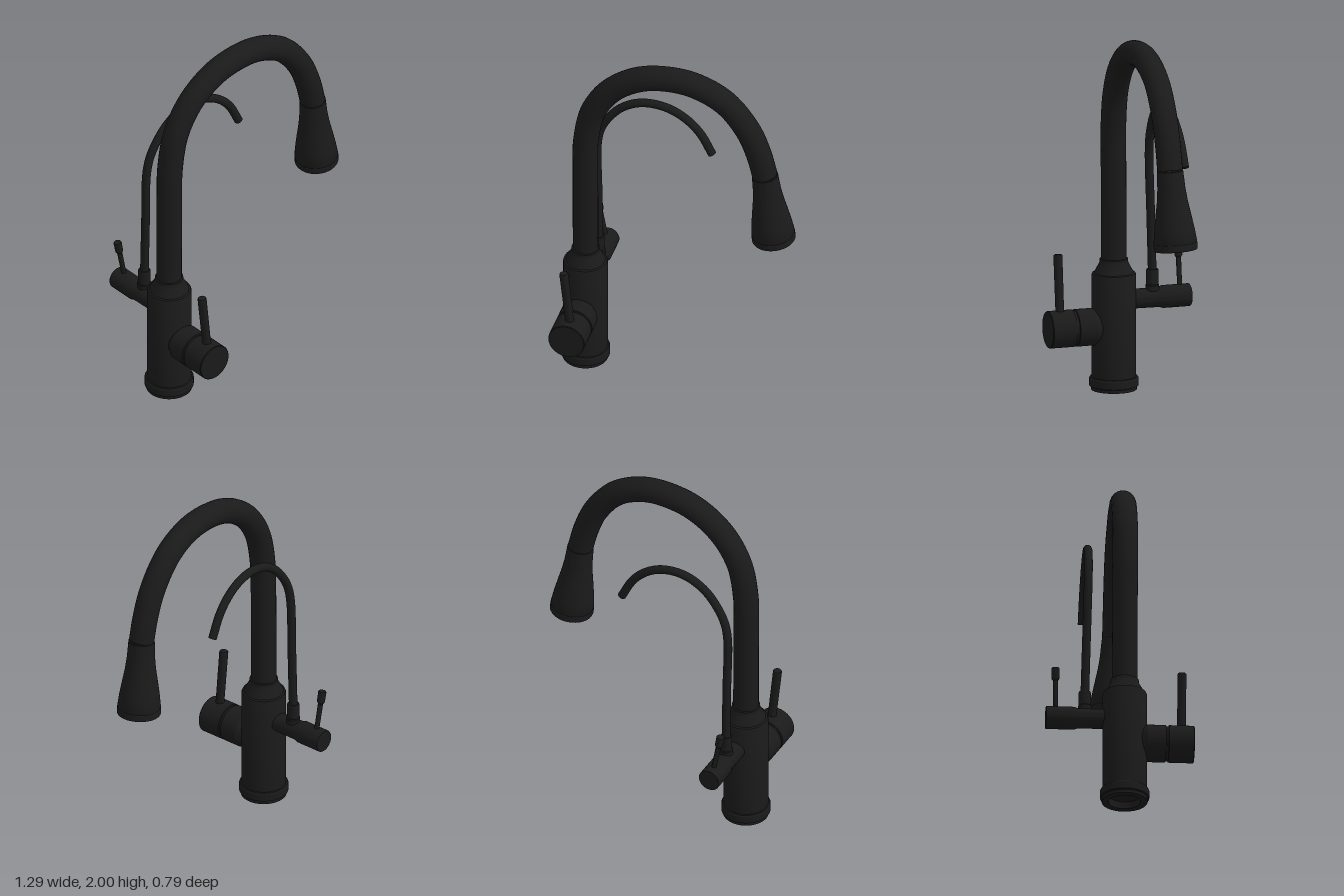
import * as THREE from 'three';
import { toCreasedNormals } from 'three/addons/utils/BufferGeometryUtils.js';

const material = new THREE.MeshStandardMaterial({ color: 0x1a1a1a });
const V = (x, y, z) => new THREE.Vector3(x, y, z);
const UP = V(0, 1, 0);

export function createModel() {
  const model = new THREE.Group();

  const add = (name, geometry) => {
    const mesh = new THREE.Mesh(geometry, material);
    mesh.name = name;
    model.add(mesh);
    return mesh;
  };

  // Turned part: profile of [radius, height] from bottom to top, height measured from "from" towards "to"
  const turned = (name, profile, from, to, segments = 48) => {
    const points = profile.map(([r, h]) => new THREE.Vector2(r, h));
    const mesh = add(name, toCreasedNormals(new THREE.LatheGeometry(points, segments), 0.5));
    mesh.position.copy(from);
    mesh.quaternion.setFromUnitVectors(UP, to.clone().sub(from).normalize());
    return mesh;
  };

  // Bent pipe through points, closed with flat discs at the ends
  const pipe = (name, points, radius, segments) => {
    const curve = new THREE.CatmullRomCurve3(points, false, 'centripetal');
    add(name, new THREE.TubeGeometry(curve, segments, radius, 24));
    [0, 1].forEach((t) => {
      const cap = add(name + 'End', new THREE.CircleGeometry(radius, 24));
      cap.position.copy(curve.getPointAt(t));
      cap.quaternion.setFromUnitVectors(V(0, 0, 1), curve.getTangentAt(t).multiplyScalar(t ? 1 : -1));
    });
  };

  const X = -0.515, Z = 0.026;

  // Body with stepped foot, hollow underside, sloped shoulder and pipe collar
  turned('body', [
    [0, 0.04], [0.085, 0.04], [0.085, 0], [0.122, 0], [0.122, 0.018], [0.131, 0.022],
    [0.131, 0.062], [0.126, 0.07], [0.119, 0.072], [0.119, 0.625], [0.115, 0.634],
    [0.105, 0.638], [0.078, 0.69], [0.075, 0.7], [0.075, 0.713], [0.066, 0.716], [0, 0.716],
  ], V(X, 0, Z), V(X, 1, Z), 64);

  // Main spout
  pipe('mainSpout', [
    V(X, 0.69, Z), V(X, 1.0, 0.027), V(X, 1.25, 0.028), V(-0.512, 1.42, 0.03),
    V(-0.47, 1.63, 0.032), V(-0.365, 1.792, 0.034), V(-0.2, 1.9, 0.037), V(-0.01, 1.932, 0.04),
    V(0.13, 1.91, 0.042), V(0.27, 1.835, 0.042), V(0.39, 1.685, 0.043), V(0.45, 1.54, 0.043),
    V(0.483, 1.41, 0.042),
  ], 0.068, 80);

  // Flared spray head with recessed outlet
  turned('sprayHead', [
    [0, 0.03], [0.04, 0.03], [0.04, 0.012], [0.095, 0.012], [0.1, 0], [0.114, 0], [0.117, 0.005],
    [0.117, 0.035], [0.115, 0.038], [0.115, 0.042], [0.116, 0.045], [0.108, 0.11], [0.095, 0.19],
    [0.083, 0.26], [0.075, 0.33], [0.07, 0.425], [0.066, 0.428], [0, 0.428],
  ], V(0.528, 0.987, 0.024), V(0.483, 1.41, 0.042));

  // Front mixer knob: fixed neck, narrow gap, turning cap
  turned('mixerKnob', [
    [0, 0], [0.07, 0], [0.1, 0.05], [0.1, 0.148], [0.093, 0.15], [0.093, 0.162],
    [0.1, 0.164], [0.1, 0.296], [0.097, 0.3], [0, 0.3],
  ], V(X, 0.348, 0.095), V(X, 0.348, 1));

  // Mixer lever
  turned('mixerLever', [[0, 0], [0.023, 0], [0.024, 0.33], [0.021, 0.335], [0, 0.335]],
    V(-0.512, 0.415, 0.329), V(-0.548, 0.75, 0.329), 20);

  // Rear side arm, widening towards its end
  turned('sideArm', [
    [0, 0], [0.052, 0], [0.054, 0.17], [0.061, 0.19], [0.061, 0.337], [0.059, 0.34], [0, 0.34],
  ], V(-0.51, 0.485, -0.055), V(-0.51, 0.485, -1));

  // Small lever on the side arm
  turned('sideLever', [
    [0, 0], [0.013, 0], [0.014, 0.165], [0.021, 0.175], [0.022, 0.232], [0.019, 0.237], [0, 0.237],
  ], V(-0.51, 0.525, -0.342), V(-0.555, 0.755, -0.346), 20);

  // Slim spout collar
  turned('slimSpoutCollar', [
    [0, 0], [0.037, 0], [0.037, 0.03], [0.033, 0.035], [0.033, 0.112], [0.03, 0.117], [0, 0.117],
  ], V(-0.505, 0.525, -0.186), V(-0.505, 1, -0.186), 32);

  // Slim spout
  pipe('slimSpout', [
    V(-0.505, 0.62, -0.186), V(-0.505, 0.95, -0.177), V(-0.505, 1.27, -0.168),
    V(-0.485, 1.37, -0.165), V(-0.44, 1.455, -0.162), V(-0.37, 1.535, -0.159),
    V(-0.28, 1.586, -0.157), V(-0.19, 1.6, -0.155), V(-0.09, 1.582, -0.154),
    V(0, 1.53, -0.154), V(0.07, 1.455, -0.155), V(0.133, 1.335, -0.157),
  ], 0.023, 64);

  return model;
}
